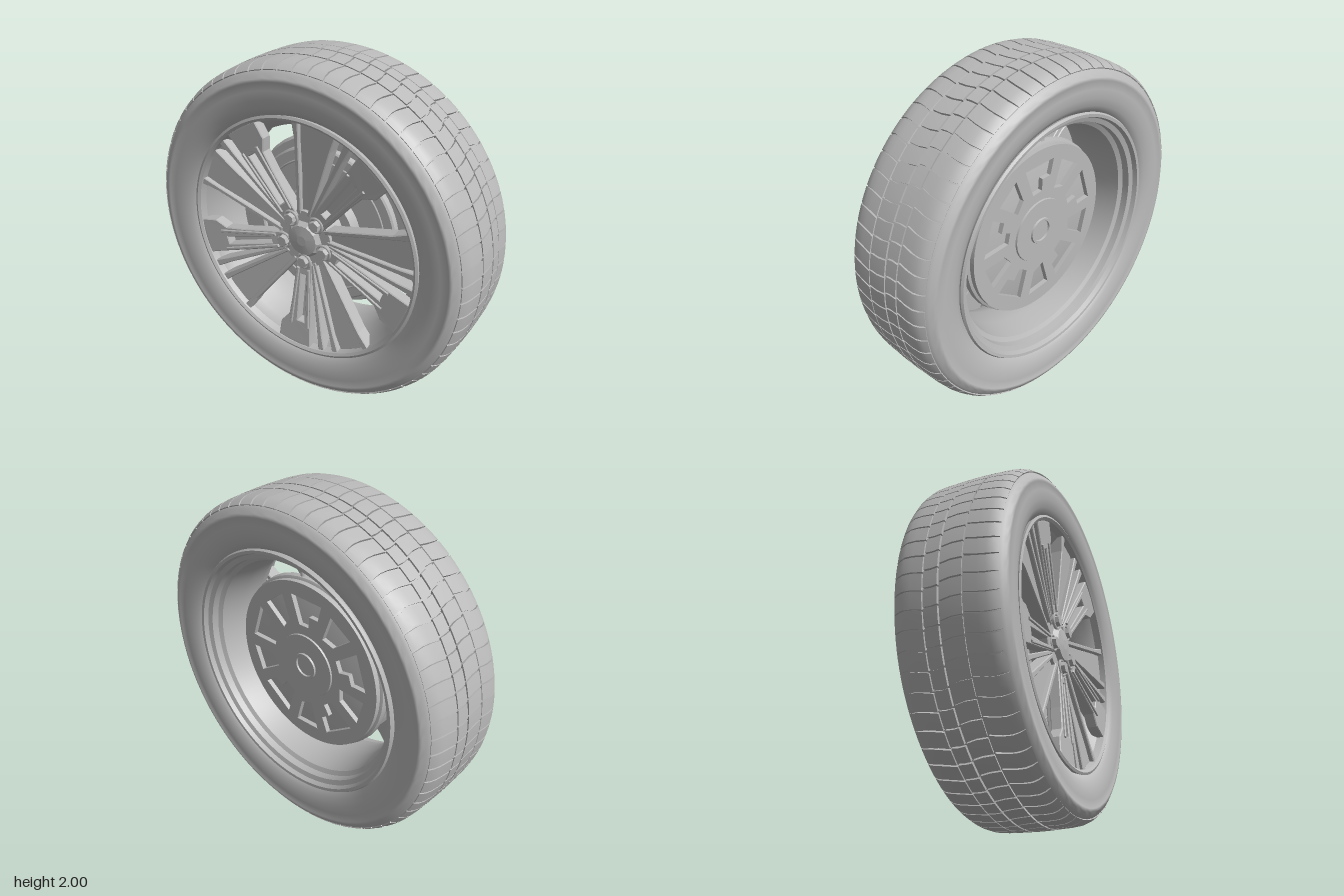
import * as THREE from 'three';
import { mergeGeometries, toCreasedNormals } from 'three/addons/utils/BufferGeometryUtils.js';

const grey = new THREE.MeshStandardMaterial({ color: 0xbababa, side: THREE.DoubleSide });
grey.name = 'plain grey';

const rad = THREE.MathUtils.degToRad;

function part(parent, name, geometry) {
  const mesh = new THREE.Mesh(geometry, grey);
  mesh.name = name;
  parent.add(mesh);
  return mesh;
}

// Solid of revolution about z from [radius, z] points
function turned(points, segments = 96, crease = 0.5) {
  const g = new THREE.LatheGeometry(points.map(p => new THREE.Vector2(...p)), segments);
  g.rotateX(Math.PI / 2);
  return toCreasedNormals(g, crease);
}

// Disc or rod along z
function rod(r0, r1, z0, z1, sides) {
  return new THREE.CylinderGeometry(r1, r0, z1 - z0, sides).rotateX(Math.PI / 2).translate(0, 0, (z0 + z1) / 2);
}

// Polar [radius, degrees] points to a path
const polar = pts => pts.map(([r, a]) => new THREE.Vector2(r * Math.cos(rad(a)), r * Math.sin(rad(a))));

function sector(r0, r1, a0, a1, steps = 4) {
  const pts = [];
  for (let i = 0; i <= steps; i++) pts.push([r1, a0 + (a1 - a0) * i / steps]);
  for (let i = steps; i >= 0; i--) pts.push([r0, a0 + (a1 - a0) * i / steps]);
  return pts;
}

// Extruded polar outline; slope raises it toward the rim
function plate(outline, z0, z1, { hole, slope = 0, bevel = 0.005 } = {}) {
  const shape = new THREE.Shape(polar(outline));
  if (hole) shape.holes.push(new THREE.Path(polar(hole)));
  const g = new THREE.ExtrudeGeometry(shape, {
    depth: z1 - z0 - 2 * bevel, bevelEnabled: true, bevelSize: bevel,
    bevelThickness: bevel, bevelOffset: -bevel, bevelSegments: 1,
  });
  g.translate(0, 0, z0 + bevel);
  const p = g.attributes.position;
  for (let i = 0; i < p.count; i++) p.setZ(i, p.getZ(i) + slope * (Math.hypot(p.getX(i), p.getY(i)) - 0.15));
  g.computeVertexNormals();
  return g;
}

// Curved tread block: a box bent around the tyre and over the row's [radius, z] profile
function treadBlock(profile, angle, width) {
  const n = profile.length - 1;
  const g = new THREE.BoxGeometry(1, 1, 1, 2, 1, n);
  const p = g.attributes.position;
  for (let i = 0; i < p.count; i++) {
    const [r, z] = profile[Math.round((p.getZ(i) + 0.5) * n)];
    const a = angle + p.getX(i) * width + 0.01 * Math.sin(z * 22);
    const down = 0.5 - p.getY(i);
    const radius = r - down * 0.02;
    p.setXYZ(i, radius * Math.sin(a), radius * Math.cos(a), z * (1 - down * 0.05));
  }
  g.computeVertexNormals();
  return g;
}

function buildTyre(wheel) {
  const half = [[0.985, 0], [0.982, 0.19], [0.972, 0.236], [0.96, 0.262], [0.945, 0.28], [0.925, 0.291], [0.92, 0.296],
    [0.905, 0.298], [0.9, 0.295], [0.86, 0.297], [0.81, 0.293], [0.765, 0.28], [0.735, 0.262], [0.715, 0.235]];
  const back = half.slice(1).reverse().map(([r, z]) => [r, -z]);
  part(wheel, 'tyreCarcass', turned([...back, ...half], 128, 0.7));

  const shoulder = [[0.997, 0.106], [0.995, 0.17], [0.99, 0.215], [0.979, 0.246], [0.962, 0.27]];
  const rows = [
    shoulder.map(([r, z]) => [r, -z]).reverse(),
    [[0.998, -0.099], [0.999, -0.06], [1, -0.025]],
    [[1, -0.015], [1, 0.04], [0.998, 0.098]],
    shoulder,
  ];
  const count = 66, pitch = Math.PI * 2 / count;
  rows.forEach((row, k) => {
    const blocks = [];
    for (let i = 0; i < count; i++) blocks.push(treadBlock(row, (i + k * 0.12) * pitch, pitch * 0.9));
    part(wheel, 'treadRow' + (k + 1), mergeGeometries(blocks));
  });
}

function buildRim(wheel) {
  part(wheel, 'rimBarrel', turned([[0.715, -0.235], [0.73, -0.265], [0.722, -0.278], [0.705, -0.276], [0.695, -0.25],
    [0.668, -0.24], [0.664, -0.2], [0.64, -0.185], [0.618, -0.05], [0.618, 0.08], [0.655, 0.18],
    [0.69, 0.22], [0.697, 0.263], [0.712, 0.274], [0.726, 0.268], [0.715, 0.235]]));

  const spokes = new THREE.Group();
  spokes.name = 'spokes';
  wheel.add(spokes);
  for (let k = 0; k < 5; k++) {
    const s = new THREE.Group();
    s.name = 'spokeSector';
    s.rotation.z = rad(54 + 72 * k);
    spokes.add(s);
    // Forked spoke ending in a broad pad at the rim
    part(s, 'forkedSpoke', plate(
      [[0.14, -20], [0.4, -10.5], [0.53, -10], [0.6, -14], [0.7, -13], [0.705, -4], [0.7, 5], [0.6, 5.5], [0.4, 8], [0.14, 20]],
      0.15, 0.215, { slope: 0.08, hole: [[0.23, -4.5], [0.54, -3.5], [0.54, 1.5], [0.23, 4.5]] }));
    part(s, 'spokeInsert', plate([[0.2, -10], [0.6, -5], [0.6, 3], [0.2, 10]], 0.12, 0.16, { slope: 0.08 }));
    for (const side of [-1, 1]) {
      const end = side < 0 ? -8.2 : 5;
      part(s, 'spokeRidge', plate(
        [[0.19, side * 13], [0.57, end], [0.57, end - side * 1.6], [0.19, side * 8]],
        0.205, 0.225, { slope: 0.08, bevel: 0.003 }));
    }
    // Broad recessed blade with raised edges, and a thin free rib beside it
    part(s, 'broadBlade', plate(
      [[0.13, 20], [0.38, 22], [0.6, 20.5], [0.7, 21.5], [0.7, 36], [0.6, 37], [0.38, 38], [0.13, 50]],
      0.12, 0.185, { slope: 0.08 }));
    part(s, 'bladeEdge', plate([[0.15, 21], [0.6, 18], [0.7, 17.5], [0.7, 21], [0.6, 21], [0.15, 29]], 0.13, 0.21, { slope: 0.08 }));
    part(s, 'bladeEdge', plate([[0.15, 44], [0.6, 36.5], [0.7, 36], [0.7, 39.5], [0.6, 39], [0.15, 54]], 0.13, 0.21, { slope: 0.08 }));
    part(s, 'thinRib', plate([[0.16, 14], [0.6, 10], [0.7, 9.5], [0.7, 13], [0.6, 13], [0.16, 22]], 0.13, 0.21, { slope: 0.08 }));

    // Wheel nut in its seat
    const seat = part(s, 'nutSeat', new THREE.TorusGeometry(0.042, 0.008, 6, 20));
    seat.position.set(0.138, 0, 0.217);
    const nut = part(s, 'wheelNut', toCreasedNormals(rod(0.036, 0.031, 0.19, 0.243, 6), 0.3));
    nut.position.x = 0.138;
  }
  part(wheel, 'hubBody', toCreasedNormals(rod(0.19, 0.17, 0.06, 0.205, 20), 0.5));
  const cap = part(wheel, 'centreCap', toCreasedNormals(rod(0.115, 0.09, 0.2, 0.232, 10), 0.2));
  cap.rotation.z = rad(18);
  part(wheel, 'capCrown', toCreasedNormals(rod(0.09, 0.03, 0.232, 0.24, 10), 0.1));
}

function buildBrake(wheel) {
  part(wheel, 'brakeDisc', turned([[0.01, -0.02], [0.46, -0.02], [0.47, -0.012], [0.47, 0.022], [0.46, 0.03], [0.25, 0.03],
    [0.24, 0.09], [0.01, 0.09]], 64));
  part(wheel, 'discRing', new THREE.TorusGeometry(0.4, 0.006, 6, 64)).position.z = 0.03;
  part(wheel, 'backPlate', turned([[0.01, -0.095], [0.5, -0.095], [0.52, -0.085], [0.525, -0.055], [0.51, -0.03], [0.01, -0.03]], 40));

  // Rear face with a ring of uneven pockets
  const face = new THREE.Shape();
  face.absarc(0, 0, 0.505, 0, Math.PI * 2);
  for (let i = 0; i < 10; i++) {
    const a = 36 * i + 18, w = i % 2 ? 11 : 15;
    const pts = i % 2
      ? [[0.42, a - w], [0.43, a + w], [0.28, a + w * 0.8], [0.25, a - w * 0.7]]
      : [[0.43, a - w], [0.43, a + w], [0.33, a + w], [0.32, a + 4], [0.25, a + 4], [0.25, a - w * 0.8]];
    face.holes.push(new THREE.Path(polar(pts)));
  }
  const faceGeometry = new THREE.ExtrudeGeometry(face, { depth: 0.03, bevelEnabled: false, curveSegments: 48 });
  part(wheel, 'pocketedFace', faceGeometry.translate(0, 0, -0.123));
  part(wheel, 'rearHub', toCreasedNormals(rod(0.19, 0.2, -0.133, -0.09, 40), 0.5));
  part(wheel, 'rearHubRing', turned([[0.06, -0.131], [0.063, -0.143], [0.076, -0.143], [0.08, -0.131]], 32));

  // Caliper straddling the disc, with bolts, and studs on the plate edge
  part(wheel, 'caliper', plate(sector(0.3, 0.52, 156, 204, 8), -0.05, 0.085, { bevel: 0.012 }));
  part(wheel, 'caliperBridge', plate(sector(0.35, 0.47, 166, 194, 5), 0.08, 0.11, { bevel: 0.008 }));
  for (const a of [160, 200]) {
    const bolt = part(wheel, 'caliperBolt', rod(0.025, 0.022, 0.08, 0.11, 12));
    bolt.position.set(0.47 * Math.cos(rad(a)), 0.47 * Math.sin(rad(a)), 0);
  }
  for (const a of [82, 98, 262, 278]) {
    const stud = part(wheel, 'edgeStud', new THREE.CylinderGeometry(0.018, 0.022, 0.05, 10));
    stud.position.set(0.525 * Math.cos(rad(a)), 0.525 * Math.sin(rad(a)), -0.06);
    stud.rotation.z = rad(a - 90);
  }
}

export function createModel() {
  const wheel = new THREE.Group();
  wheel.name = 'wheel';
  buildTyre(wheel);
  buildRim(wheel);
  buildBrake(wheel);
  wheel.position.y = 1;
  const model = new THREE.Group();
  model.name = 'carWheel';
  model.add(wheel);
  return model;
}
